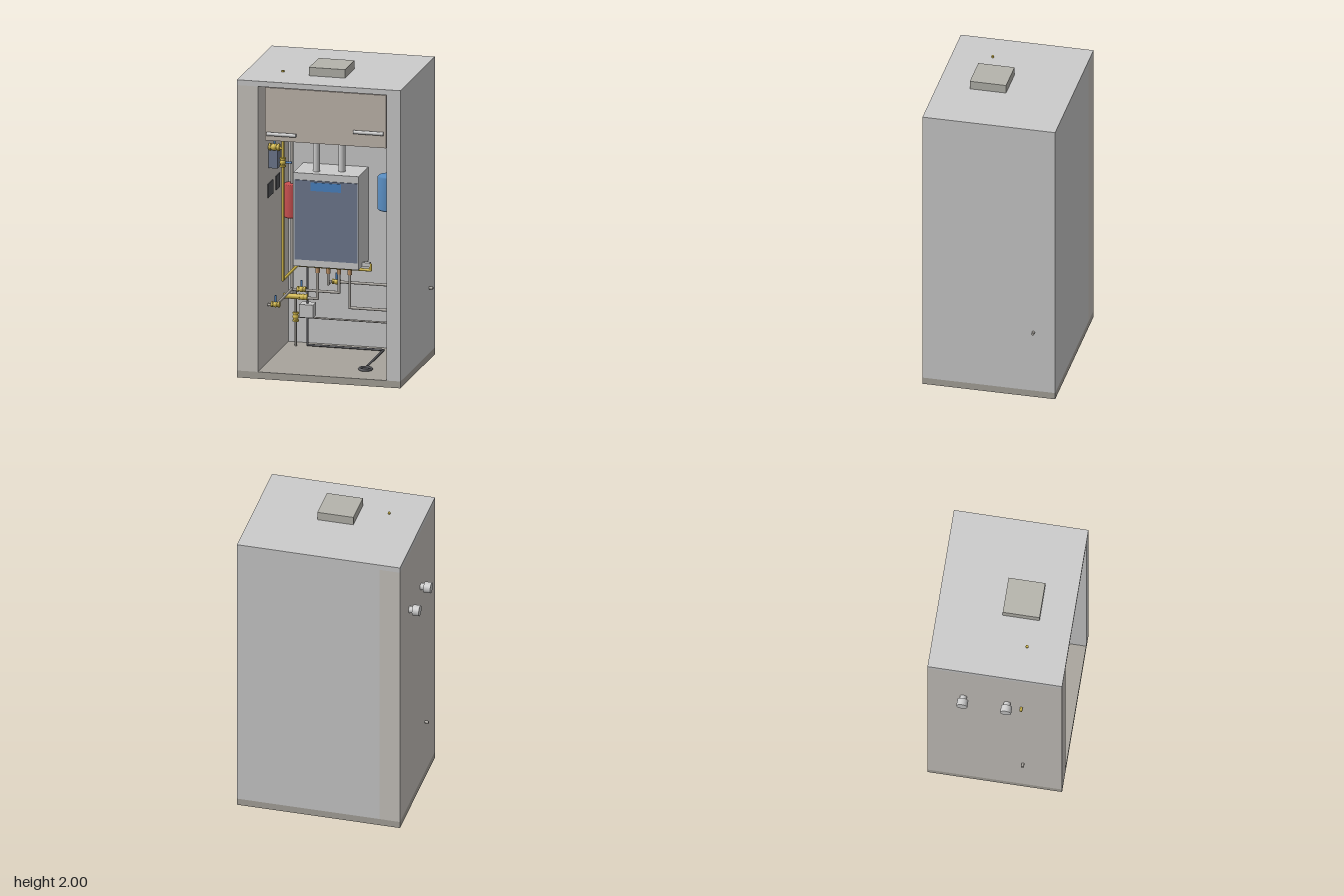
import * as THREE from 'three';

const mat = (color) => new THREE.MeshStandardMaterial({ color });
const M = {
  grey: mat(0xcccccc), wall: mat(0xcac6c0), base: mat(0xa8a49c), vent: mat(0xb5b4ac),
  hood: mat(0xc2b8ae), brass: mat(0xd2b84a), copper: mat(0xc09468), steel: mat(0xa8a49e),
  dark: mat(0x55565a), slate: mat(0x6f7a90), blue: mat(0x4a84c4), tank: mat(0x5a8fc4), red: mat(0xc85050),
};

export function createModel() {
  const root = new THREE.Group();

  const add = (name, geometry, material, parent = root) => {
    const mesh = new THREE.Mesh(geometry, material);
    mesh.name = name;
    parent.add(mesh);
    return mesh;
  };
  // Box given by its limits on each axis
  const box = (name, material, [x0, x1], [y0, y1], [z0, z1]) => {
    const m = add(name, new THREE.BoxGeometry(x1 - x0, y1 - y0, z1 - z0), material);
    m.position.set((x0 + x1) / 2, (y0 + y1) / 2, (z0 + z1) / 2);
    return m;
  };
  const up = new THREE.Vector3(0, 1, 0);
  const rod = (name, material, r, a, b, parent = root, r2 = r) => {
    const p = new THREE.Vector3(...a), q = new THREE.Vector3(...b), d = q.clone().sub(p);
    const m = add(name, new THREE.CylinderGeometry(r2, r, d.length(), 20), material, parent);
    m.position.copy(p).add(q).multiplyScalar(0.5);
    m.quaternion.setFromUnitVectors(up, d.normalize());
    return m;
  };
  // Run of straight pipes with rounded corners
  const pipe = (name, material, r, pts) => {
    const g = new THREE.Group();
    g.name = name;
    root.add(g);
    for (let i = 1; i < pts.length; i++) {
      rod(name + 'Length', material, r, pts[i - 1], pts[i], g);
      if (i < pts.length - 1)
        add(name + 'Elbow', new THREE.SphereGeometry(r * 1.05, 16, 10), material, g).position.set(...pts[i]);
    }
  };
  // Ball valve along an axis, with a blue lever
  const valve = (name, [x, y, z], axis, leverDir, size = 0.03) => {
    const g = new THREE.Group();
    g.name = name;
    g.position.set(x, y, z);
    root.add(g);
    const at = (d, k) => d.map((c) => c * k);
    rod('valveBody', M.brass, size * 0.5, at(axis, -size), at(axis, size), g);
    add('valveBall', new THREE.SphereGeometry(size * 0.68, 16, 12), M.brass, g);
    for (const s of [-1, 1])
      rod('valveNut', M.brass, size * 0.65, at(axis, s * size * 0.65), at(axis, s * size), g);
    if (leverDir) rod('valveLever', M.blue, 0.007, at(leverDir, size * 0.4), at(leverDir, 0.058), g);
  };

  // Cabinet
  box('base', M.base, [-0.51, 0.555], [0, 0.045], [-0.43, 0.43]);
  box('thickSideWall', M.wall, [-0.51, -0.375], [0.045, 1.91], [-0.43, 0.43]);
  box('sideWall', M.grey, [0.465, 0.555], [0.045, 1.91], [-0.43, 0.43]);
  box('backWall', M.grey, [-0.375, 0.465], [0.045, 1.91], [-0.43, -0.34]);
  box('roof', M.grey, [-0.51, 0.555], [1.91, 1.945], [-0.43, 0.43]);
  box('roofVent', M.vent, [-0.095, 0.14], [1.885, 2], [-0.015, 0.22]);

  // Air unit under the roof, with two bars on its front
  box('airUnit', M.hood, [-0.35, 0.44], [1.54, 1.885], [-0.15, 0.35]);
  rod('lowerBar', M.grey, 0.012, [-0.335, 1.585, 0.36], [-0.145, 1.585, 0.36]);
  rod('upperBar', M.grey, 0.012, [0.23, 1.635, 0.36], [0.425, 1.635, 0.36]);

  // Boiler
  box('boilerBody', M.grey, [-0.28, 0.145], [0.61, 1.22], [-0.34, -0.09]);
  box('boilerFront', M.slate, [-0.27, 0.14], [0.655, 1.175], [-0.09, -0.083]);
  box('boilerDisplay', M.blue, [-0.165, 0.035], [1.11, 1.165], [-0.084, -0.079]);

  // Flue pipes with caps outside the wall
  pipe('exhaustFlue', M.grey, 0.022, [[-0.55, 1.495, -0.2], [0.01, 1.495, -0.2], [0.01, 1.22, -0.2]]);
  pipe('intakeFlue', M.grey, 0.022,
    [[-0.55, 1.495, 0.08], [-0.145, 1.495, 0.08], [-0.145, 1.495, -0.16], [-0.145, 1.22, -0.16]]);
  for (const z of [-0.2, 0.08]) rod('flueCap', M.grey, 0.035, [-0.58, 1.495, z], [-0.535, 1.495, z]);

  // Expansion tanks
  const tank = (name, material, x, z, r, y0, y1) => {
    const b = r * 0.12;
    const prof = [[0, y0], [r - b, y0], [r, y0 + b], [r, y1 - b], [r - b, y1], [0, y1]];
    add(name, new THREE.LatheGeometry(prof.map((p) => new THREE.Vector2(...p)), 32), material).position.set(x, 0, z);
  };
  tank('blueTank', M.tank, 0.3, -0.25, 0.07, 0.975, 1.2);
  tank('redTank', M.red, -0.33, -0.25, 0.05, 0.885, 1.105);

  // Gas line
  pipe('gasLine', M.brass, 0.009, [[-0.28, 1.955, 0.17], [-0.28, 0.585, 0.17], [-0.28, 0.585, -0.2],
    [0.195, 0.585, -0.2], [0.195, 0.62, -0.2], [0.14, 0.62, -0.2]]);
  box('gasInlet', M.grey, [0.145, 0.195], [0.61, 0.635], [-0.215, -0.185]);
  pipe('gasOutlet', M.brass, 0.009, [[-0.535, 1.445, 0.17], [-0.28, 1.445, 0.17]]);
  valve('gasShutoff', [-0.28, 1.355, 0.17], [0, 1, 0], [1, 0, 0]);
  valve('gasSideValve', [-0.335, 1.45, 0.17], [1, 0, 0], [0, 1, 0], 0.035);

  // Boxes on the side wall
  box('controlBox', M.slate, [-0.375, -0.315], [1.31, 1.43], [0.09, 0.17]);
  for (const [z0, z1] of [[0.07, 0.19], [-0.1, -0.01]])
    box('wallPlate', M.dark, [-0.375, -0.368], [1.12, 1.21], [z0, z1]);

  // Copper stubs under the boiler
  const zb = -0.22;
  for (const x of [-0.155, -0.085, -0.015, 0.055]) rod('boilerStub', M.copper, 0.014, [x, 0.54, zb], [x, 0.61, zb]);

  // Water lines
  pipe('outletLine', M.steel, 0.009,
    [[-0.085, 0.55, zb], [-0.085, 0.47, zb], [-0.085, 0.47, -0.29], [0.58, 0.47, -0.29]]);
  valve('outletValve', [-0.05, 0.47, -0.29], [1, 0, 0], [0, 1, 0], 0.026);
  pipe('supplyLine', M.steel, 0.009,
    [[-0.015, 0.55, zb], [-0.015, 0.42, zb], [-0.325, 0.42, zb], [-0.325, 0.42, 0.18], [-0.535, 0.42, 0.18]]);
  valve('supplyValve', [-0.325, 0.425, 0.18], [1, 0, 0], [0, 1, 0], 0.028);
  valve('rearSupplyValve', [-0.26, 0.425, zb], [1, 0, 0], [0, 1, 0], 0.028);
  pipe('returnLine', M.steel, 0.009, [[-0.155, 0.55, zb], [-0.155, 0.37, zb], [-0.37, 0.37, zb]]);
  rod('manifold', M.brass, 0.017, [-0.375, 0.375, zb], [-0.225, 0.375, zb]);
  valve('manifoldValve', [-0.25, 0.375, zb], [1, 0, 0], null, 0.03);
  pipe('heatingLine', M.steel, 0.009,
    [[0.055, 0.55, zb], [0.055, 0.325, zb], [0.42, 0.325, zb], [0.42, 0.325, -0.1], [0.42, 1.54, -0.1]]);
  pipe('heatingReturn', M.steel, 0.01, [[-0.33, 0.37, -0.25], [-0.33, 1.5, -0.25], [-0.33, 1.5, -0.12], [-0.33, 1.55, -0.12]]);
  pipe('blueTankLine', M.steel, 0.006, [[0.3, 0.98, -0.25], [0.3, 0.235, -0.25], [-0.305, 0.235, -0.25]]);
  pipe('fillLine', M.steel, 0.007, [[-0.305, 0.045, -0.25], [-0.305, 0.42, -0.25]]);
  valve('fillValve', [-0.305, 0.235, -0.25], [0, 1, 0], null);

  // Condensate trap and floor drain
  box('condensateTrap', M.grey, [-0.27, -0.18], [0.245, 0.33], [-0.28, -0.2]);
  pipe('condensateLine', M.dark, 0.007, [[-0.225, 0.61, -0.24], [-0.225, 0.058, -0.24],
    [0.27, 0.058, -0.24], [0.27, 0.058, 0.17]]);
  const ring = add('drainRing', new THREE.TorusGeometry(0.038, 0.009, 10, 28), M.dark);
  ring.rotation.x = Math.PI / 2;
  ring.position.set(0.27, 0.052, 0.21);
  rod('drainGrate', M.dark, 0.036, [0.27, 0.04, 0.21], [0.27, 0.05, 0.21]);

  return root;
}
